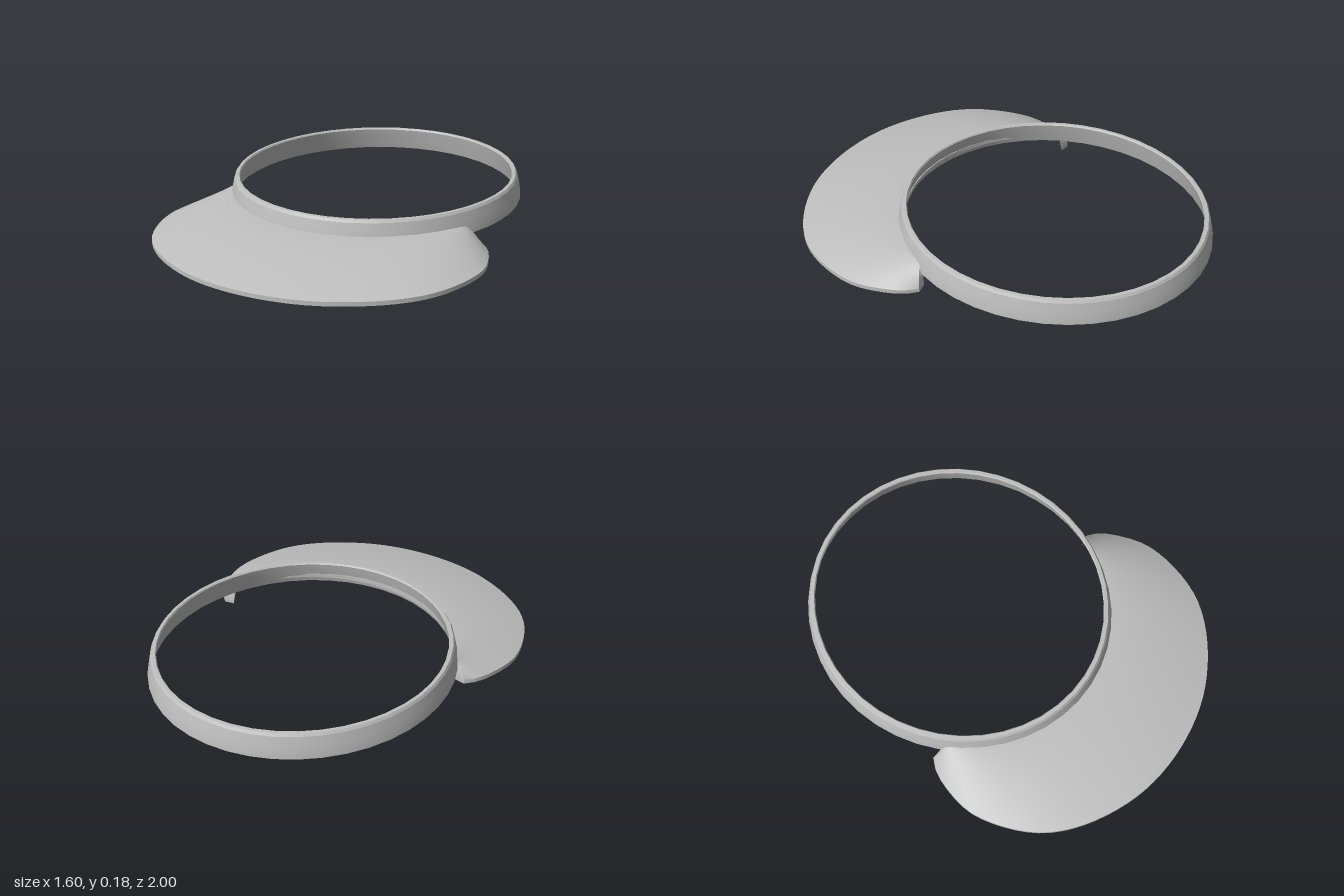
import * as THREE from 'three';
import { toCreasedNormals } from 'three/addons/utils/BufferGeometryUtils.js';

// Oval head band: tapered wall profile turned around y, narrowed in x
function bandGeometry() {
  const profile = [
    [0.732, 0.066], [0.75, 0.068], [0.749, 0.085], [0.74, 0.13], [0.73, 0.17], [0.722, 0.182],
    [0.706, 0.183], [0.701, 0.176], [0.71, 0.14], [0.732, 0.066],
  ].map(([r, y]) => new THREE.Vector2(r, y));
  const geometry = new THREE.LatheGeometry(profile, 44);
  geometry.scale(0.94, 1, 1);
  geometry.translate(0, 0, -0.25);
  return toCreasedNormals(geometry, 0.3);
}

// Crescent brim: thin domed cross-sections from the band to the outer outline
function brimGeometry() {
  const half = [
    [0.3, 0.953], [0.577, 0.8], [0.722, 0.63], [0.8, 0.36],
    [0.768, 0.19], [0.718, 0.09], [0.665, 0.047], [0.632, 0.062],
  ];
  const outline = new THREE.CatmullRomCurve3([
    ...half.map(([x, z]) => new THREE.Vector3(-x, 0, z)).reverse(),
    new THREE.Vector3(0, 0, 1),
    ...half.map(([x, z]) => new THREE.Vector3(x, 0, z)),
  ]);
  outline.arcLengthDivisions = 600;

  const rows = 56, steps = 9, loop = 2 * (steps + 1);
  const positions = [], index = [];
  for (let i = 0; i <= rows; i++) {
    const t = (2 * i) / rows - 1;
    const outer = outline.getPointAt(i / rows);
    const phi = t * 1.105, r = 0.712 + 0.02 * t * t;
    const inner = new THREE.Vector3(0.94 * r * Math.sin(phi), 0, -0.25 + r * Math.cos(phi));
    for (let j = 0; j < loop; j++) {
      const top = j <= steps;
      const s = (top ? j : loop - 1 - j) / steps;
      const p = inner.clone().lerp(outer, s);
      const y = 0.02 + 0.093 * (1 - Math.pow(s, 1.6));
      positions.push(p.x, top ? y : y - 0.02, p.z);
    }
  }
  for (let i = 0; i < rows; i++) {
    for (let j = 0; j < loop; j++) {
      const k = (j + 1) % loop;
      const a = i * loop + j, b = i * loop + k, c = a + loop, d = b + loop;
      index.push(a, b, d, a, d, c);
    }
  }
  // Closed tips
  const last = rows * loop;
  for (let j = 0; j < steps; j++) {
    const m = loop - 1 - j;
    index.push(j, m, m - 1, j, m - 1, j + 1);
    index.push(last + j, last + m - 1, last + m, last + j, last + j + 1, last + m - 1);
  }
  const geometry = new THREE.BufferGeometry();
  geometry.setAttribute('position', new THREE.Float32BufferAttribute(positions, 3));
  geometry.setIndex(index);
  return toCreasedNormals(geometry, 0.6);
}

export function createModel() {
  const grey = new THREE.MeshStandardMaterial({ color: 0xbfbfbf });
  grey.name = 'light grey';

  const model = new THREE.Group();
  model.name = 'sunVisor';

  const band = new THREE.Mesh(bandGeometry(), grey);
  band.name = 'headBand';
  const brim = new THREE.Mesh(brimGeometry(), grey);
  brim.name = 'brim';
  model.add(band, brim);
  return model;
}
